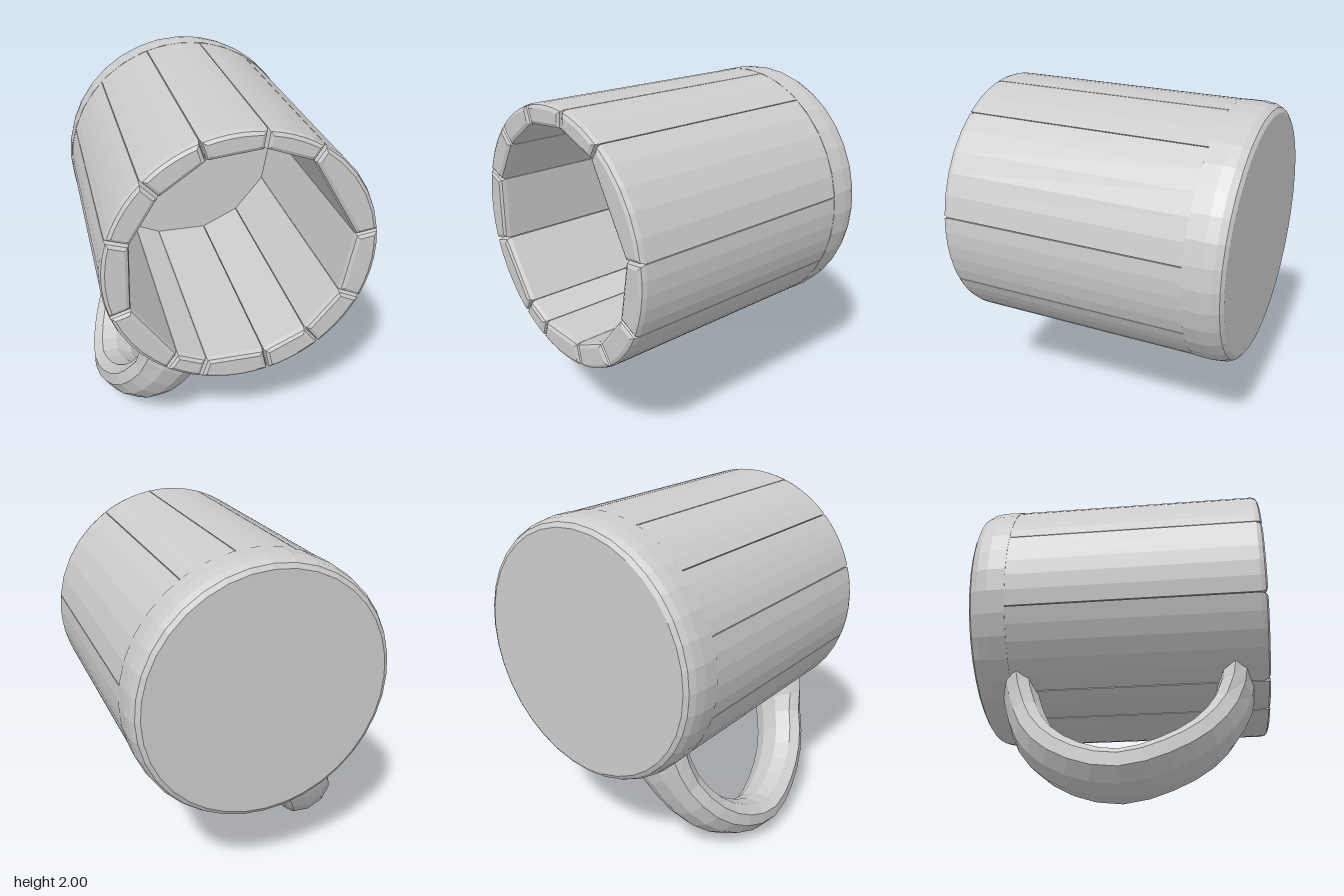
import * as THREE from 'three';

const CENTER_Y = 1.27;
const OUTER_R = 0.727;
const material = new THREE.MeshStandardMaterial({ color: 0xcccccc, flatShading: true });

function part(name, geometry) {
  const mesh = new THREE.Mesh(geometry, material);
  mesh.name = name;
  return mesh;
}

// Inner corners of the cup, counter-clockwise around the cup's axis
const corners = [
  [0.60, 0.09], [0.34, 0.53], [0.09, 0.62], [-0.19, 0.59], [-0.42, 0.43], [-0.57, 0.19],
  [-0.58, -0.18], [-0.35, -0.51], [-0.19, -0.58], [0.13, -0.58], [0.36, -0.47], [0.54, -0.25],
].map(([x, y]) => new THREE.Vector2(x, y));

// One wall stave: flat inside, curved outside, chamfered at the rim
function staveGeometry(a, b) {
  const gap = 0.003, steps = 5;
  const start = a.angle() + gap;
  let end = b.angle() - gap;
  if (end < start) end += Math.PI * 2;
  const points = [];
  for (let i = 0; i <= steps; i++) {
    const t = start + (end - start) * i / steps;
    points.push(new THREE.Vector2(Math.cos(t) * OUTER_R, Math.sin(t) * OUTER_R));
  }
  points.push(new THREE.Vector2(Math.cos(end), Math.sin(end)).multiplyScalar(b.length()));
  points.push(new THREE.Vector2(Math.cos(start), Math.sin(start)).multiplyScalar(a.length()));
  const geometry = new THREE.ExtrudeGeometry(new THREE.Shape(points), {
    depth: 1.39, bevelEnabled: true, bevelThickness: 0.035,
    bevelSize: 0.025, bevelOffset: -0.025, bevelSegments: 2,
  });
  return geometry.translate(0, 0, -0.615);
}

// Handle loop: a flattened tube, widened where its outer side meets the wall
function handleGeometry() {
  const path = new THREE.CatmullRomCurve3([
    [0.63, 0.67], [0.60, 0.82], [0.47, 1.06], [0.27, 1.22], [0.02, 1.305],
    [-0.22, 1.235], [-0.41, 1.07], [-0.53, 0.82], [-0.57, 0.67],
  ].map(([z, d]) => new THREE.Vector3(0, -d, z)));
  const geometry = new THREE.TubeGeometry(path, 16, 0.102, 10);
  const p = geometry.attributes.position;
  for (let i = 0; i < p.count; i++) {
    const x = p.getX(i);
    const flare = x < 0 ? 2 * Math.max(0, 0.88 + p.getY(i)) : 0;
    p.setX(i, x * 1.62 * (1 + flare));
  }
  geometry.computeVertexNormals();
  return geometry;
}

export function createModel() {
  const model = new THREE.Group();
  model.name = 'mug';

  // Cup lying on its side with the opening towards the front
  const cup = new THREE.Group();
  cup.name = 'cup';
  cup.position.y = CENTER_Y;
  model.add(cup);

  const wall = new THREE.Group();
  wall.name = 'wall';
  corners.forEach((corner, i) => {
    wall.add(part('wallStave', staveGeometry(corner, corners[(i + 1) % corners.length])));
  });
  cup.add(wall);

  // Solid base with a rounded back edge; its front face is the cup's floor
  const profile = [
    [0, -0.81], [0.68, -0.81], [0.705, -0.795], [0.722, -0.76], [0.731, -0.70], [0.73, -0.60], [0, -0.60],
  ].map(([r, z]) => new THREE.Vector2(r, z));
  cup.add(part('base', new THREE.LatheGeometry(profile, 36).rotateX(Math.PI / 2)));

  // Handle hangs down and to the right
  const handle = part('handle', handleGeometry());
  handle.position.x = 0.015;
  handle.rotation.z = -0.484;
  cup.add(handle);

  return model;
}
